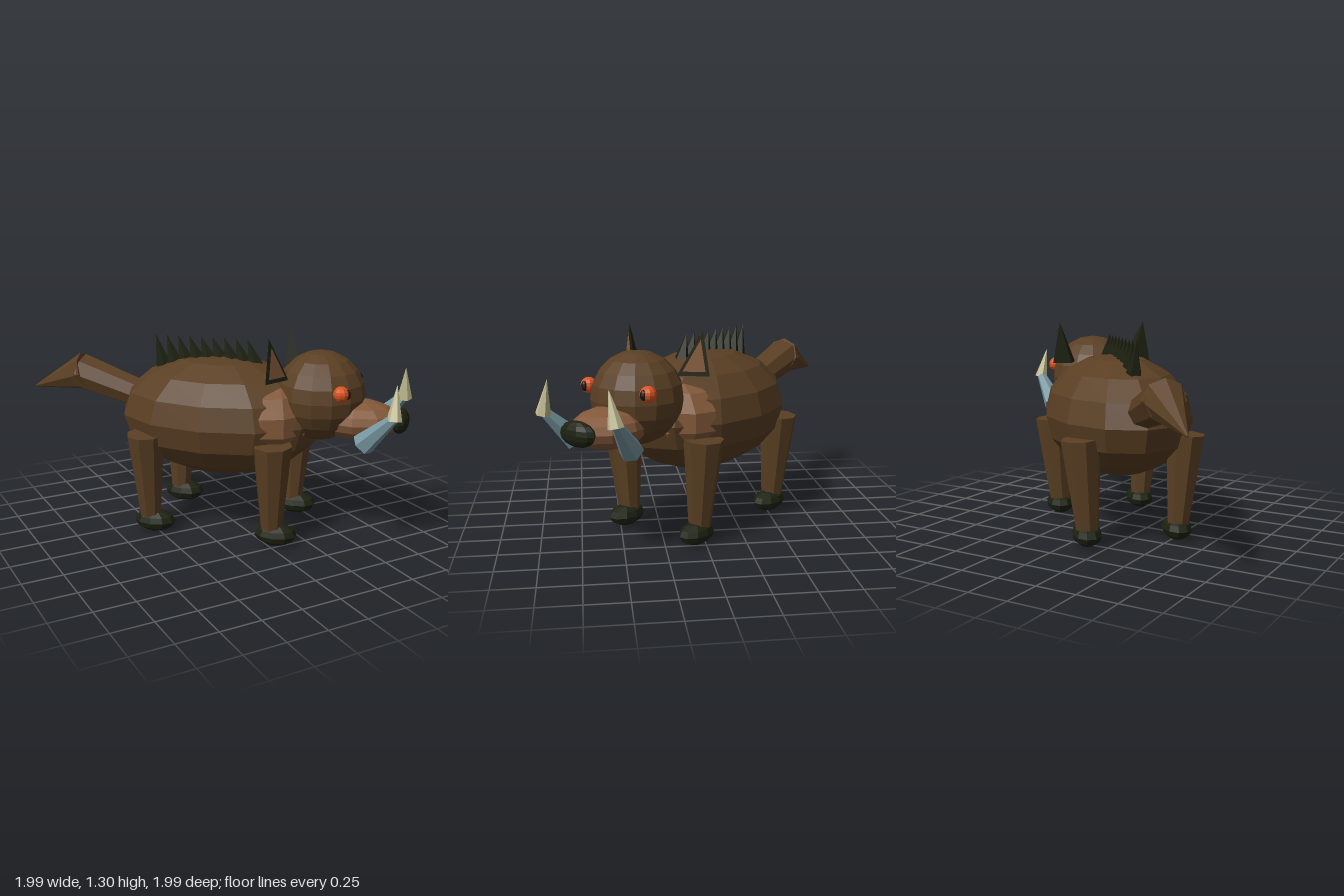
import * as THREE from 'three';

const V = (x, y, z) => new THREE.Vector3(x, y, z);

export function createModel() {
  const mat = (name, color) => {
    const m = new THREE.MeshStandardMaterial({ color, flatShading: true });
    m.name = name;
    return m;
  };
  const hide = mat('hide brown', 0x5a3f23);
  const tan = mat('light brown', 0x83593a);
  const dark = mat('dark bristle', 0x1d2110);
  const orange = mat('eye orange', 0xd8531f);
  const black = mat('pupil black', 0x1a130b);
  const blue = mat('tusk blue grey', 0x7797a1);
  const ivory = mat('tusk ivory', 0xc4be94);

  // Built facing +z, then turned to its diagonal stance
  const beast = new THREE.Group();
  beast.name = 'boar';

  const add = (name, geometry, material) => {
    const m = new THREE.Mesh(geometry, material);
    m.name = name;
    beast.add(m);
    return m;
  };
  const ball = (name, material, c, r, w = 12, h = 8) => {
    const m = add(name, new THREE.SphereGeometry(1, w, h), material);
    m.position.copy(c);
    m.scale.copy(r);
    return m;
  };
  // Tapered limb running from a to b
  const limb = (name, material, a, b, ra, rb, sides = 8) => {
    const d = b.clone().sub(a);
    const m = add(name, new THREE.CylinderGeometry(rb, ra, d.length(), sides), material);
    m.position.copy(a).add(b).multiplyScalar(0.5);
    m.quaternion.setFromUnitVectors(V(0, 1, 0), d.normalize());
    return m;
  };
  // Faces from corner points, each wound outward from the centre of all points
  const solid = (name, material, pts, faces) => {
    const g = new THREE.BufferGeometry().setFromPoints(faces.flat().map((i) => pts[i]));
    g.computeVertexNormals();
    return add(name, g, material);
  };

  // Trunk
  ball('body', hide, V(0, 0.75, -0.08), V(0.455, 0.38, 0.67));
  ball('chest', tan, V(0, 0.77, 0.28), V(0.375, 0.27, 0.27), 12, 7);
  ball('head', hide, V(0, 0.92, 0.566), V(0.28, 0.28, 0.28), 14, 10);
  ball('snout', tan, V(0, 0.785, 0.8), V(0.2, 0.125, 0.27), 10, 8);
  ball('nose', dark, V(0, 0.793, 1.065), V(0.13, 0.075, 0.055), 10, 8);

  // Tail in two bent sections
  limb('tailBase', hide, V(0, 0.83, -0.62), V(0, 0.965, -1.06), 0.095, 0.12);
  limb('tailTip', hide, V(0, 0.965, -1.02), V(0, 0.835, -1.41), 0.128, 0.006);

  // Mane: a row of swept-back spikes following the spine
  for (let i = 0; i < 9; i++) {
    const z = -0.46 + i * 0.077;
    const y = 0.72 + 0.38 * Math.sqrt(1 - ((z + 0.08) / 0.67) ** 2);
    limb('maneSpike', dark, V(0, y - 0.02, z), V(0, 1.24, z - 0.06), 0.058, 0.001, 5);
  }

  for (const s of [1, -1]) {
    const side = s > 0 ? 'left' : 'right';

    // Legs and hooves
    for (const [place, top, foot] of [['Front', 0.345, 0.335], ['Rear', -0.475, -0.47]]) {
      limb(side + place + 'Leg', hide, V(s * 0.285, 0.08, foot), V(s * 0.325, 0.67, top), 0.065, 0.123);
      ball(side + place + 'Hoof', dark, V(s * 0.285, 0.077, foot + 0.028), V(0.09, 0.07, 0.135), 10, 6);
    }

    // Eyes
    ball(side + 'Eye', orange, V(s * 0.23, 0.99, 0.735), V(0.049, 0.049, 0.049), 10, 8);
    ball(side + 'Pupil', black, V(s * 0.228, 0.99, 0.772), V(0.022, 0.031, 0.02), 8, 6);

    // Tusks: grey root, pale upright point
    limb(side + 'TuskRoot', blue, V(s * 0.222, 0.69, 0.872), V(s * 0.282, 0.885, 1.057), 0.072, 0.03, 6);
    limb(side + 'TuskPoint', ivory, V(s * 0.28, 0.865, 1.057), V(s * 0.235, 1.07, 1.06), 0.047, 0.001, 6);

    // Ears: tip, outer, inner and back corners, with a light inner face
    const e = [V(s * 0.287, 1.31, 0.305), V(s * 0.335, 1.04, 0.3), V(s * 0.165, 1.04, 0.4), V(s * 0.21, 1.04, 0.29)];
    let faces = [[0, 2, 1], [0, 1, 3], [0, 3, 2], [1, 2, 3]];
    if (s < 0) faces = faces.map(([a, b, c]) => [a, c, b]);
    solid(side + 'Ear', dark, e, faces);
    const mid = e[0].clone().add(e[1]).add(e[2]).divideScalar(3);
    const out = V(s * 0.004, 0, 0.007);
    const inset = e.slice(0, 3).map((p) => p.clone().lerp(mid, 0.3).add(out));
    solid(side + 'EarLining', tan, inset, [faces[0]]);
  }

  beast.rotation.y = Math.PI / 4;
  const model = new THREE.Group();
  model.name = 'model';
  model.add(beast);
  model.position.y = -0.007;
  const root = new THREE.Group();
  root.add(model);
  return root;
}
